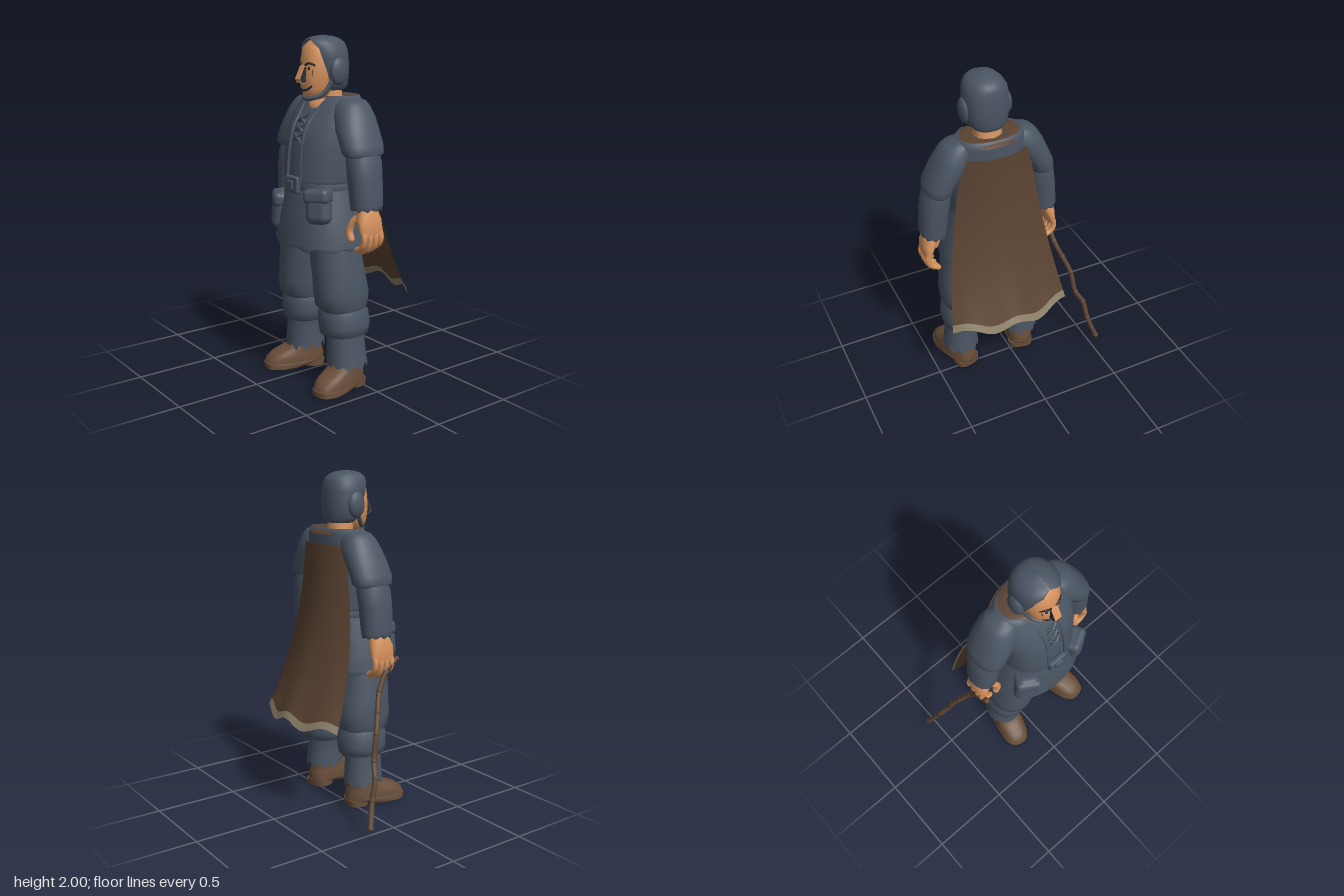
import * as THREE from 'three';
import { RoundedBoxGeometry } from 'three/addons/geometries/RoundedBoxGeometry.js';

const CX = 0.11; // centre line of the body
const mat = (name, color, side = THREE.FrontSide) => {
  const m = new THREE.MeshStandardMaterial({ color, side });
  m.name = name;
  return m;
};

// Horizontal elliptical rings, bottom to top: [y, cx, cz, rx, rz, gap].
// gap is the half angle left open at the front; jag makes the lowest ring ragged.
function loft(rings, { n = 28, e = 0.9, jag = 0, caps = true } = {}) {
  const pos = [], idx = [], open = rings.some(r => r[5]);
  const cols = open ? n + 1 : n;
  const pow = v => Math.sign(v) * Math.abs(v) ** e;
  rings.forEach(([y, cx, cz, rx, rz, gap = 0], j) => {
    for (let i = 0; i < cols; i++) {
      const a = gap + (i / n) * (Math.PI * 2 - 2 * gap);
      const dy = j === 0 ? jag * Math.sin(i * 2.3) : 0;
      pos.push(cx + rx * pow(Math.sin(a)), y + dy, cz + rz * pow(Math.cos(a)));
    }
  });
  for (let j = 0; j < rings.length - 1; j++) {
    for (let i = 0; i < n; i++) {
      const k = (i + 1) % cols;
      const a = j * cols + i, b = j * cols + k, c = b + cols, d = a + cols;
      idx.push(a, b, c, a, c, d);
    }
  }
  if (caps && !open) {
    [0, rings.length - 1].forEach((j, top) => {
      const base = pos.length / 3, [y, cx, cz] = rings[j];
      for (let i = 0; i < n * 3; i++) pos.push(pos[j * n * 3 + i]);
      pos.push(cx, y, cz);
      for (let i = 0; i < n; i++) {
        const a = base + i, b = base + (i + 1) % n;
        top ? idx.push(a, b, base + n) : idx.push(b, a, base + n);
      }
    });
  }
  const g = new THREE.BufferGeometry();
  g.setAttribute('position', new THREE.Float32BufferAttribute(pos, 3));
  g.setIndex(idx);
  g.computeVertexNormals();
  return g;
}

const tube = (pts, r, seg = 16, sides = 8) => new THREE.TubeGeometry(
  new THREE.CatmullRomCurve3(pts.map(p => new THREE.Vector3(...p))), seg, r, sides);

export function createModel() {
  const model = new THREE.Group();
  const cloth = mat('slate cloth', 0x4a5563, THREE.DoubleSide);
  const skin = mat('skin', 0xd8935e);
  const leather = mat('boot leather', 0x694e39);
  const capeCloth = mat('cape brown', 0x5b4332, THREE.DoubleSide);
  const hemCloth = mat('hem tan', 0x8c7f69, THREE.DoubleSide);
  const wood = mat('stick wood', 0x5f4633);
  const dark = mat('dark lines', 0x262b33, THREE.DoubleSide);

  const add = (name, geo, material, parent = model) => {
    const m = new THREE.Mesh(geo, material);
    m.name = name;
    parent.add(m);
    return m;
  };
  // rings given without cx, on the centre line
  const mid = rings => rings.map(([y, ...r]) => [y, CX, ...r]);

  // Tunic, skirt and belt
  add('tunic', loft(mid([[1.15, 0.1, 0.205, 0.195], [1.4, 0.1, 0.21, 0.178], [1.55, 0.075, 0.21, 0.15],
    [1.62, 0.045, 0.2, 0.11], [1.655, 0.04, 0.15, 0.09]])), cloth);
  add('skirt', loft(mid([[0.83, 0.115, 0.288, 0.222], [0.85, 0.115, 0.295, 0.228], [1.0, 0.112, 0.262, 0.215],
    [1.12, 0.105, 0.225, 0.203], [1.2, 0.1, 0.205, 0.195]]), { jag: 0.012 }), cloth);
  add('belt', loft(mid([[1.155, 0.1, 0.21, 0.195], [1.165, 0.1, 0.22, 0.208], [1.21, 0.1, 0.217, 0.206],
    [1.22, 0.1, 0.205, 0.195]])), cloth);
  add('buckle', new RoundedBoxGeometry(0.12, 0.095, 0.035, 2, 0.012), cloth).position.set(CX, 1.185, 0.307);
  add('buckleBar', new RoundedBoxGeometry(0.05, 0.05, 0.02, 2, 0.008), cloth).position.set(CX, 1.185, 0.325);

  // Open vest with rolled front edges
  add('vest', loft(mid([[1.19, 0.1, 0.212, 0.2, 0.32], [1.215, 0.1, 0.228, 0.21, 0.24], [1.4, 0.1, 0.23, 0.194, 0.2],
    [1.5, 0.085, 0.235, 0.178, 0.2], [1.58, 0.06, 0.235, 0.15, 0.22], [1.64, 0.04, 0.215, 0.132, 0.34],
    [1.675, 0.035, 0.19, 0.12, 0.6], [1.665, 0.035, 0.165, 0.1, 0.7]]), { n: 40 }), cloth);
  for (const s of [-1, 1]) {
    add('vestEdge', tube([[CX + s * 0.065, 1.21, 0.3], [CX + s * 0.058, 1.4, 0.285], [CX + s * 0.06, 1.5, 0.256],
      [CX + s * 0.07, 1.58, 0.2], [CX + s * 0.1, 1.64, 0.15]], 0.009), cloth);
  }
  // Lacing at the chest
  for (let i = 0; i < 3; i++) {
    const y = 1.55 - i * 0.05, z = 0.232 + i * 0.018;
    for (const s of [-1, 1]) {
      add('lace', tube([[CX - s * 0.035, y + 0.02, z - 0.005], [CX, y, z + 0.012],
        [CX + s * 0.035, y - 0.025, z + 0.012]], 0.009, 8, 6), cloth);
    }
  }

  // Brown collar, open at the throat
  add('collar', loft(mid([[1.64, 0.035, 0.185, 0.135, 0.5], [1.672, 0.035, 0.17, 0.118, 0.5],
    [1.66, 0.045, 0.085, 0.075, 0.5]])), capeCloth);
  add('throat', loft(mid([[1.59, 0.085, 0.055, 0.09], [1.63, 0.08, 0.085, 0.095], [1.655, 0.06, 0.08, 0.08]])), skin);

  // Head
  const head = new THREE.Group();
  head.name = 'head';
  model.add(head);
  add('neck', loft(mid([[1.6, 0.05, 0.08, 0.075], [1.75, 0.07, 0.075, 0.07]])), skin, head);
  add('face', loft(mid([[1.65, 0.155, 0.03, 0.04], [1.665, 0.145, 0.058, 0.07], [1.71, 0.13, 0.083, 0.1],
    [1.77, 0.115, 0.098, 0.12], [1.82, 0.11, 0.104, 0.122], [1.88, 0.105, 0.104, 0.12], [1.94, 0.1, 0.09, 0.113],
    [1.97, 0.1, 0.06, 0.08]])), skin, head);
  add('hood', loft(mid([[1.7, 0.055, 0.085, 0.08, 1.0], [1.73, 0.06, 0.115, 0.098, 0.95], [1.8, 0.07, 0.127, 0.112, 0.9],
    [1.88, 0.083, 0.128, 0.125, 0.8], [1.93, 0.09, 0.12, 0.125, 0.72], [1.96, 0.095, 0.102, 0.118, 0.45],
    [1.98, 0.097, 0.08, 0.095, 0.01], [1.993, 0.098, 0.05, 0.06, 0.01], [2.0, 0.1, 0.002, 0.002, 0.01]]), { n: 36 }), cloth, head);
  for (const s of [-1, 1]) {
    const ear = add('earFlap', new THREE.SphereGeometry(1, 16, 12), cloth, head);
    ear.scale.set(0.028, 0.075, 0.056);
    ear.position.set(CX + s * 0.125, 1.805, 0.085);
    add('brow', tube([[CX + s * 0.015, 1.838, 0.23], [CX + s * 0.04, 1.85, 0.225], [CX + s * 0.07, 1.838, 0.2]], 0.007, 8, 6), dark, head);
    add('eye', new THREE.SphereGeometry(0.01, 8, 6), dark, head).position.set(CX + s * 0.04, 1.822, 0.222);
    add('cheekLine', tube([[CX + s * 0.062, 1.825, 0.206], [CX + s * 0.056, 1.79, 0.212],
      [CX + s * 0.06, 1.75, 0.202]], 0.005, 8, 6), dark, head);
    // dark side of the nose
    const side = new THREE.Shape([[0.215, 1.835], [0.24, 1.83], [0.27, 1.765], [0.26, 1.745], [0.215, 1.745]]
      .map(p => new THREE.Vector2(-p[0], p[1])));
    const plate = add('noseSide', new THREE.ShapeGeometry(side), dark, head);
    plate.rotation.y = Math.PI / 2;
    plate.position.x = CX + s * 0.0225;
  }
  const noseShape = new THREE.Shape([[0.2, 1.84], [0.24, 1.835], [0.274, 1.765], [0.262, 1.742], [0.2, 1.742]]
    .map(p => new THREE.Vector2(-p[0], p[1])));
  const nose = add('nose', new THREE.ExtrudeGeometry(noseShape, { depth: 0.042, bevelEnabled: false }), skin, head);
  nose.rotation.y = Math.PI / 2;
  nose.position.x = CX - 0.021;
  add('mouth', tube([[CX - 0.058, 1.74, 0.2], [CX - 0.035, 1.712, 0.222], [CX, 1.702, 0.231],
    [CX + 0.035, 1.712, 0.222], [CX + 0.058, 1.74, 0.2]], 0.007), dark, head);
  add('jawBeard', tube([[CX - 0.105, 1.76, 0.11], [CX - 0.082, 1.69, 0.15], [CX - 0.045, 1.662, 0.195], [CX, 1.655, 0.212],
    [CX + 0.045, 1.662, 0.195], [CX + 0.082, 1.69, 0.15], [CX + 0.105, 1.76, 0.11]], 0.013, 24), cloth, head);

  // Arms, hands, legs and boots, mirrored about the centre line
  for (const s of [-1, 1]) {
    const label = s > 0 ? 'left' : 'right';
    const limb = rings => rings.map(([y, u, ...r]) => [y, CX + s * u, ...r]);
    const path = pts => pts.map(([u, y, z]) => [CX + s * u, y, z]);
    add(label + 'Sleeve', loft(limb([[1.36, 0.315, 0.06, 0.07, 0.11], [1.375, 0.312, 0.06, 0.083, 0.126], [1.42, 0.3, 0.06, 0.088, 0.13],
      [1.5, 0.255, 0.055, 0.098, 0.128], [1.57, 0.215, 0.048, 0.105, 0.118], [1.62, 0.195, 0.045, 0.095, 0.1],
      [1.65, 0.185, 0.042, 0.075, 0.08], [1.668, 0.17, 0.04, 0.03, 0.04]])), cloth);
    add(label + 'Forearm', loft(limb([[1.075, 0.35, 0.065, 0.072, 0.09], [1.1, 0.352, 0.065, 0.079, 0.094], [1.25, 0.335, 0.065, 0.084, 0.1],
      [1.33, 0.322, 0.062, 0.083, 0.103], [1.4, 0.31, 0.06, 0.07, 0.09]]), { jag: 0.01 }), cloth);
    const hand = new THREE.Group();
    hand.name = label + 'Hand';
    model.add(hand);
    add('palm', loft(limb([[0.93, 0.402, 0.07, 0.02, 0.065], [0.96, 0.4, 0.07, 0.028, 0.078], [1.02, 0.385, 0.072, 0.043, 0.076],
      [1.07, 0.36, 0.07, 0.055, 0.062], [1.1, 0.35, 0.07, 0.055, 0.06]])), skin, hand);
    for (let i = 0; i < 4; i++) {
      const z = 0.012 + i * 0.038, drop = Math.abs(i - 1.6) * 0.012;
      add('finger', tube(path([[0.395, 0.98, z], [0.412, 0.92, z], [0.395, 0.86 + drop, z], [0.352, 0.835 + drop, z]]), 0.0175, 12), skin, hand);
      add('fingerTip', new THREE.SphereGeometry(0.0175, 8, 6), skin, hand).position.set(CX + s * 0.352, 0.835 + drop, z);
    }
    add('thumb', tube(path([[0.36, 1.05, 0.11], [0.318, 1.0, 0.135], [0.303, 0.95, 0.143], [0.318, 0.91, 0.143]]), 0.02, 12), skin, hand);
    add('thumbTip', new THREE.SphereGeometry(0.02, 8, 6), skin, hand).position.set(CX + s * 0.318, 0.91, 0.143);

    add(label + 'Thigh', loft(limb([[0.46, 0.178, 0.09, 0.115, 0.125], [0.5, 0.178, 0.1, 0.13, 0.155], [0.57, 0.177, 0.102, 0.137, 0.163],
      [0.65, 0.168, 0.108, 0.137, 0.155], [0.8, 0.148, 0.122, 0.138, 0.145], [0.9, 0.135, 0.122, 0.13, 0.14]])), cloth);
    add(label + 'KneeRoll', loft(limb([[0.315, 0.185, 0.085, 0.1, 0.11], [0.33, 0.185, 0.085, 0.128, 0.14], [0.38, 0.183, 0.085, 0.138, 0.147],
      [0.45, 0.18, 0.088, 0.133, 0.145], [0.49, 0.178, 0.09, 0.115, 0.125]])), cloth);
    add(label + 'Calf', loft(limb([[0.14, 0.208, 0.08, 0.11, 0.118], [0.19, 0.205, 0.082, 0.104, 0.115], [0.27, 0.2, 0.085, 0.098, 0.112],
      [0.35, 0.19, 0.085, 0.1, 0.11]]), { jag: 0.025, caps: false }), cloth);

    const boot = new THREE.Group();
    boot.name = label + 'Boot';
    boot.position.set(CX + s * 0.205, 0, 0.07);
    boot.rotation.y = s * 0.24;
    model.add(boot);
    add('upper', loft([[0.03, 0, 0.085, 0.087, 0.185], [0.07, 0, 0.08, 0.09, 0.182], [0.1, 0, 0.065, 0.083, 0.16],
      [0.125, 0, 0.035, 0.08, 0.125], [0.15, 0, 0.01, 0.082, 0.1], [0.2, 0, 0.005, 0.08, 0.09]], { e: 0.8 }), leather, boot);
    add('sole', loft([[0.012, 0, 0.14, 0.088, 0.132], [0.038, 0, 0.086, 0.093, 0.19], [0.045, 0, 0.086, 0.09, 0.187]], { e: 0.8 }), leather, boot);
    add('heel', loft([[0, 0, -0.035, 0.078, 0.065], [0.035, 0, -0.035, 0.08, 0.068]], { e: 0.7 }), leather, boot);

    // Belt pouch with flap
    const pouch = new THREE.Group();
    pouch.name = label + 'Pouch';
    pouch.position.set(CX + s * 0.185, s > 0 ? 1.075 : 1.01, 0.265);
    pouch.rotation.set(-0.08, s * 0.5, s * 0.12);
    model.add(pouch);
    add('bag', new RoundedBoxGeometry(0.145, s > 0 ? 0.18 : 0.23, 0.1, 4, 0.045), cloth, pouch);
    add('flap', new RoundedBoxGeometry(0.152, 0.085, 0.11, 3, 0.03), cloth, pouch).position.y = 0.065;
  }

  // Cape: flares and sweeps back, with a wavy tan hem
  const capeStrip = (t0, t1, rows) => {
    const g = new THREE.PlaneGeometry(2, 1, 32, rows), p = g.attributes.position;
    for (let i = 0; i < p.count; i++) {
      const s = p.getX(i), t = t0 + (0.5 - p.getY(i)) * (t1 - t0);
      const wave = 0.022 * Math.cos(s * 8) * t ** 4;
      p.setXYZ(i, CX + s * (0.2 + 0.175 * t), 1.585 - 1.045 * t + wave,
        -0.12 - 0.222 * t ** 2.3 + (0.065 + 0.045 * t) * s * s);
    }
    g.computeVertexNormals();
    return g;
  };
  add('cape', capeStrip(0, 0.96, 20), capeCloth);
  add('capeHem', capeStrip(0.96, 1, 2), hemCloth);

  // Crooked walking stick in the right hand
  const stick = [[-0.298, 0.935, 0.165], [-0.305, 0.89, 0.1], [-0.318, 0.77, 0.03], [-0.36, 0.66, -0.015], [-0.4, 0.55, -0.055],
    [-0.425, 0.4, -0.09], [-0.47, 0.32, -0.115], [-0.49, 0.2, -0.15], [-0.535, 0.06, -0.195]];
  add('walkingStick', tube(stick, 0.0155, 60, 8), wood);
  stick.forEach(p => add('stickKnot', new THREE.SphereGeometry(0.0185, 8, 6), wood).position.set(...p));

  return model;
}
